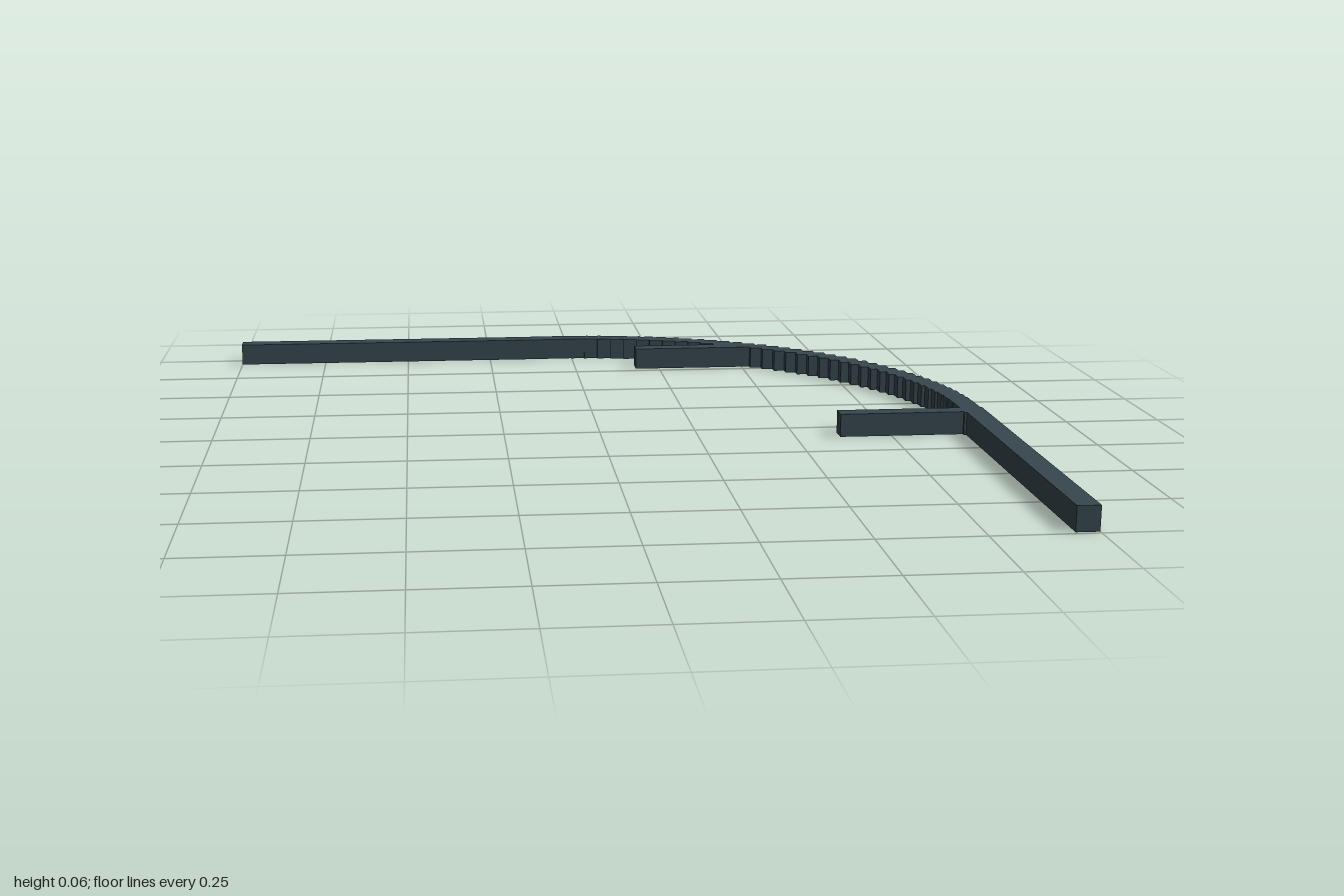
import * as THREE from 'three';

const HEIGHT = 0.06, BAR_X = 0.055, BAR_Z = 0.05;

export function createModel() {
  const model = new THREE.Group();
  model.name = 'curvedRail';
  const material = new THREE.MeshStandardMaterial({ color: 0x37474f, flatShading: true });

  // Axis-aligned bar standing on the ground, given by its x and z limits
  const addBar = (parent, name, x0, x1, z0, z1) => {
    const mesh = new THREE.Mesh(new THREE.BoxGeometry(x1 - x0, HEIGHT, z1 - z0), material);
    mesh.position.set((x0 + x1) / 2, HEIGHT / 2, (z0 + z1) / 2);
    mesh.name = name;
    parent.add(mesh);
  };

  // Straight runs
  addBar(model, 'backRail', -1, -0.08, -0.995, -0.945);
  addBar(model, 'sideRail', 0.945, 1, 0.06, 0.99);

  // Quarter bend made of overlapping unrotated blocks
  const bend = new THREE.Group();
  bend.name = 'bend';
  model.add(bend);
  const cx = -0.04, cz = 0.03, radius = 1.003, count = 42;
  const start = -0.06, end = Math.PI / 2 + 0.06;
  for (let i = 0; i <= count; i++) {
    const a = start + (end - start) * i / count;
    const x = cx + radius * Math.sin(a) + 0.005, z = cz - radius * Math.cos(a);
    addBar(bend, 'bendBlock', x - BAR_X / 2, x + BAR_X / 2, z - BAR_Z / 2, z + BAR_Z / 2);
  }

  // Short spurs reaching inward from the bend
  addBar(model, 'backSpur', 0.18, 0.54, -0.825, -0.777);
  addBar(model, 'sideSpur', 0.615, 0.97, 0.06, 0.107);

  return model;
}
